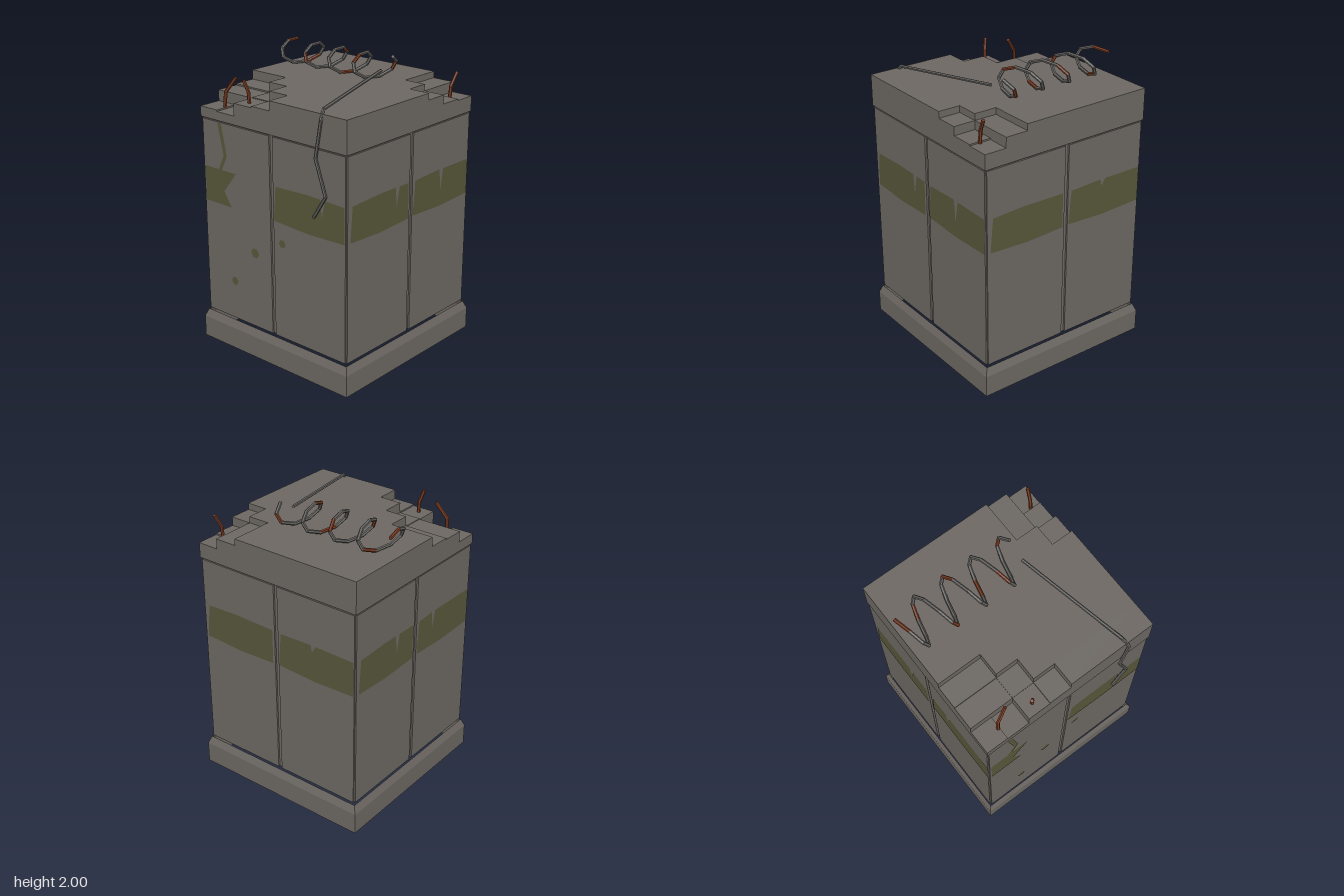
import * as THREE from 'three';
import { mergeGeometries } from 'three/addons/utils/BufferGeometryUtils.js';

function material(name, color, side = THREE.FrontSide) {
  const m = new THREE.MeshStandardMaterial({ color, side, flatShading: true });
  m.name = name;
  return m;
}

export function createModel() {
  const model = new THREE.Group();
  model.name = 'ruinedPillar';
  const concrete = material('concrete', 0x6c6762, THREE.DoubleSide);
  const paint = material('fadedOlivePaint', 0x57563a, THREE.DoubleSide);
  const steel = material('steel', 0x666562);
  const rust = material('rust', 0x7a3c22);

  const add = (parent, name, geometry, mat) => {
    const mesh = new THREE.Mesh(geometry, mat);
    mesh.name = name;
    parent.add(mesh);
    return mesh;
  };
  const box = (x0, x1, y0, y1, z0, z1) =>
    new THREE.BoxGeometry(x1 - x0, y1 - y0, z1 - z0)
      .translate((x0 + x1) / 2, (y0 + y1) / 2, (z0 + z1) / 2);
  // Square open shell from a half-width/height profile
  const squareShell = (profile) => new THREE.LatheGeometry(
    profile.map(([half, y]) => new THREE.Vector2(half * Math.SQRT2, y)), 4, Math.PI / 4);
  const flat = (points) => new THREE.ShapeGeometry(
    new THREE.Shape(points.map(([x, y]) => new THREE.Vector2(x, y))));

  // Hollow skirt and core
  add(model, 'baseSkirt', squareShell([[0.657, 0], [0.657, 0.15], [0.635, 0.205]]), concrete);
  add(model, 'core', squareShell([[0.62, 0.22], [0.62, 1.61]]), concrete);

  // Top slab: rows of blocks whose lower tops form the broken corners
  const W = 0.635, T = 1.83;
  const rows = [
    [-W, -0.48, [[0.32, T], [0.48, 1.785], [W, 1.715]]],
    [-0.48, -0.32, [[0.32, T], [0.48, 1.785], [W, 1.725]]],
    [-0.32, -0.16, [[0.48, T], [W, 1.785]]],
    [-0.16, 0.15, [[W, T]]],
    [0.15, 0.31, [[-0.32, 1.765], [W, T]]],
    [0.31, 0.47, [[-0.32, 1.755], [-0.16, 1.76], [W, T]]],
    [0.47, W, [[-0.48, 1.68], [-0.32, 1.67], [-0.16, 1.755], [0, 1.765], [W, T]]],
  ];
  const blocks = [];
  for (const [z0, z1, cells] of rows) {
    let x0 = -W;
    for (const [x1, top] of cells) {
      blocks.push(box(x0, x1, 1.61, top, z0, z1));
      x0 = x1;
    }
  }
  add(model, 'topSlab', mergeGeometries(blocks), concrete);

  // Worn paint band on one panel, with a notch [position, depth] in its top edge
  const band = (x0, x1, notch) => {
    const w = x1 - x0;
    const top = [[x0 + 0.02, 1.275], [x0 + w * 0.45, 1.285]];
    if (notch) {
      const c = x0 + w * notch[0];
      const cut = [[c - 0.018, 1.283], [c - 0.006, 1.283 - notch[1]], [c + 0.022, 1.282]];
      if (notch[0] < 0.5) top.pop();
      top.push(...cut);
    }
    return flat([...top, [x1, 1.278], [x1, 1.035], [x0 + w * 0.5, 1.025], [x0, 1.04]]);
  };

  // Four sides: front, left (+x), back, right (-x), each with two panels
  const names = ['front', 'left', 'back', 'right'];
  const notches = [
    [null, [0.7, 0.12]],
    [[0.8, 0.14], [0.5, 0.16]],
    [null, [0.47, 0.05]],
    [[0.7, 0.14], [0.3, 0.12]],
  ];
  const paintZ = 0.635;
  names.forEach((name, i) => {
    const side = new THREE.Group();
    side.name = name + 'Side';
    side.rotation.y = i * Math.PI / 2;
    add(side, 'panels', mergeGeometries([
      box(-0.622, -0.014, 0.22, 1.6, 0.62, 0.632),
      box(0.014, 0.622, 0.22, 1.6, 0.62, 0.632),
    ]), concrete);
    if (i > 0) add(side, 'paintBandA', band(-0.6, -0.03, notches[i][0]), paint).position.z = paintZ;
    add(side, 'paintBandB', band(0.02, 0.618, notches[i][1]), paint).position.z = paintZ;
    model.add(side);
  });

  // Torn band, streak and spots on the front
  add(model, 'tornPaintBand', flat([[-0.61, 1.275], [-0.32, 1.275], [-0.435, 1.13],
    [-0.37, 1.03], [-0.61, 1.03]]), paint).position.z = paintZ;
  add(model, 'paintStreak', flat([[-0.48, 1.595], [-0.445, 1.595], [-0.4, 1.38],
    [-0.45, 1.275], [-0.48, 1.275], [-0.43, 1.38]]), paint).position.z = paintZ;
  for (const [x, y, r] of [[-0.16, 0.76, 0.036], [0.09, 0.895, 0.029], [-0.36, 0.5, 0.031]]) {
    add(model, 'paintSpot', new THREE.CircleGeometry(r, 6), paint).position.set(x, y, paintZ);
  }

  // Bent rods made of straight six-sided pieces
  const rod = (name, points, radius, pick) => {
    const group = new THREE.Group();
    group.name = name;
    for (let i = 0; i + 1 < points.length; i++) {
      const a = new THREE.Vector3(...points[i]);
      const b = new THREE.Vector3(...points[i + 1]);
      const dir = b.clone().sub(a);
      const piece = add(group, name + 'Piece',
        new THREE.CylinderGeometry(radius, radius, dir.length() + radius * 0.5, 6), pick(i));
      piece.position.copy(a).add(b).multiplyScalar(0.5);
      piece.quaternion.setFromUnitVectors(new THREE.Vector3(0, 1, 0), dir.normalize());
    }
    model.add(group);
  };

  // Coil of wire lying on the slab, every fifth piece rusty
  const coil = [];
  for (let i = 0; i <= 32; i++) {
    const a = -Math.PI / 6 + i * Math.PI / 4;
    coil.push([-0.623 + i * 0.0269, 1.915 + 0.074 * Math.cos(a), -0.21 + 0.155 * Math.sin(a)]);
  }
  rod('wireCoil', coil, 0.012, (i) => (i % 5 === 0 ? rust : steel));

  // Loose wire running to the front edge and hanging down
  rod('looseWire', [[0.24, 1.91, -0.16], [0.42, 1.85, 0.6], [0.44, 1.79, 0.648],
    [0.395, 1.545, 0.648], [0.475, 1.315, 0.648], [0.378, 1.16, 0.648]], 0.011, () => steel);

  // Rusty bars sticking out of the broken corners
  const bars = [
    [[-0.49, 1.67, 0.55], [-0.485, 1.78, 0.545], [-0.415, 1.88, 0.52]],
    [[-0.245, 1.75, 0.565], [-0.247, 1.83, 0.57], [-0.267, 1.905, 0.59]],
    [[0.563, 1.71, -0.485], [0.565, 1.8, -0.495], [0.577, 1.885, -0.54]],
  ];
  bars.forEach((points) => rod('rustyBar', points, 0.012, () => rust));

  return model;
}
